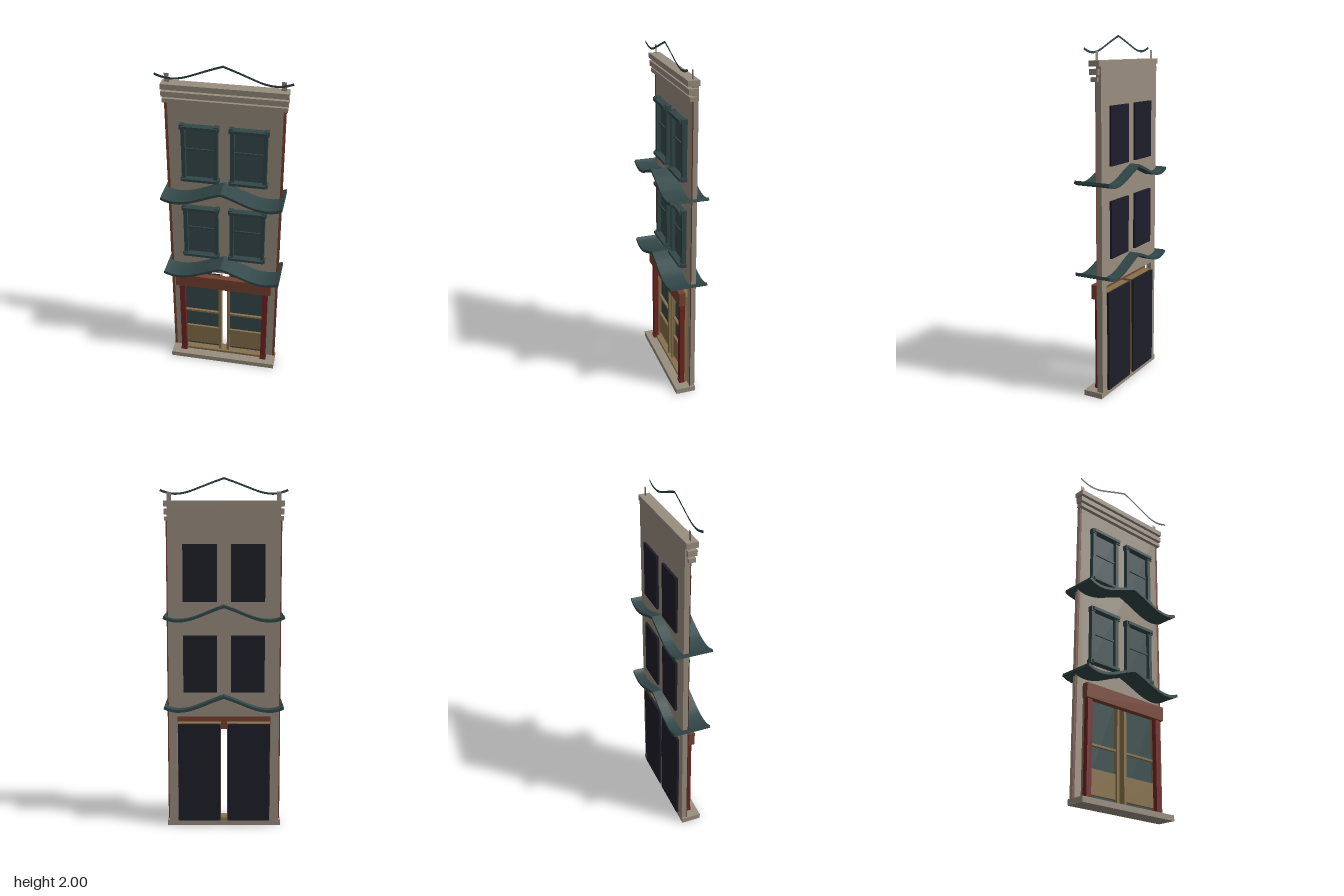
import * as THREE from 'three';

const mat = (name, color) => {
  const m = new THREE.MeshStandardMaterial({ color, side: THREE.DoubleSide });
  m.name = name;
  return m;
};

export function createModel() {
  const root = new THREE.Group();
  root.name = 'townhouseFacade';
  const stone = mat('taupe stone', 0x998e7f);
  const green = mat('dark green paint', 0x324748);
  const glass = mat('green glass', 0x364a4b);
  const brown = mat('brown lintel', 0x784130);
  const red = mat('red column', 0x702522);
  const tan = mat('tan wood', 0x87714b);
  const navy = mat('dark backing', 0x1e1e29);

  const add = (parent, name, geo, m) => {
    const mesh = new THREE.Mesh(geo, m);
    mesh.name = name;
    parent.add(mesh);
    return mesh;
  };
  // box given by its limits on each axis
  const box = (parent, name, m, x0, x1, y0, y1, z0, z1) => {
    const mesh = add(parent, name, new THREE.BoxGeometry(x1 - x0, y1 - y0, z1 - z0), m);
    mesh.position.set((x0 + x1) / 2, (y0 + y1) / 2, (z0 + z1) / 2);
    return mesh;
  };
  // flat upright panel
  const panel = (parent, name, m, x0, x1, y0, y1, z) => {
    const mesh = add(parent, name, new THREE.PlaneGeometry(x1 - x0, y1 - y0), m);
    mesh.position.set((x0 + x1) / 2, (y0 + y1) / 2, z);
    return mesh;
  };

  // wall with the doorway cut out
  const wall = new THREE.Shape();
  [[-0.316, 0], [-0.268, 0], [-0.268, 0.65], [0.268, 0.65], [0.268, 0], [0.316, 0], [0.316, 1.845], [-0.316, 1.845]]
    .forEach(([x, y], i) => (i ? wall.lineTo(x, y) : wall.moveTo(x, y)));
  add(root, 'wall', new THREE.ExtrudeGeometry(wall, { depth: 0.03, bevelEnabled: false }), stone).position.z = -0.05;
  box(root, 'baseStep', stone, -0.328, 0.328, 0, 0.031, -0.05, 0.065);

  // stepped cornice
  box(root, 'corniceTop', stone, -0.335, 0.335, 1.838, 1.868, -0.05, 0.014);
  box(root, 'corniceMiddle', stone, -0.335, 0.335, 1.795, 1.825, -0.042, 0.009);
  box(root, 'corniceLower', stone, -0.332, 0.332, 1.76, 1.783, -0.036, 0.002);

  // thin edge strips and roof posts
  for (const s of [-1, 1]) {
    panel(root, 'edgeStrip', brown, s * 0.3175 - 0.0075, s * 0.3175 + 0.0075, 0.03, 1.765, -0.0195);
    panel(root, 'roofPost', stone, s * 0.306 - 0.013, s * 0.306 + 0.013, 1.85, 1.917, -0.02);
  }

  // swept roof outline: half curve mirrored, closed by a lower copy
  const sweep = (half, t) => {
    const right = new THREE.CatmullRomCurve3(half.map(([x, y]) => new THREE.Vector3(x, y, 0))).getPoints(20);
    const top = [...right.slice(1).reverse().map(p => new THREE.Vector2(-p.x, p.y)),
      ...right.map(p => new THREE.Vector2(p.x, p.y))];
    const low = top.map(p => new THREE.Vector2(p.x * 1.012, p.y - t)).reverse();
    return new THREE.Shape([...top, ...low]);
  };
  const eave = sweep([[0, 1.295], [0.06, 1.273], [0.12, 1.248], [0.18, 1.226], [0.23, 1.216], [0.27, 1.215], [0.31, 1.223], [0.337, 1.235]], 0.016);
  for (const dy of [0, -0.513]) {
    const geo = new THREE.ExtrudeGeometry(eave, { depth: 0.216, bevelEnabled: false });
    add(root, 'canopyRoof', geo, green).position.set(0, dy, -0.109);
  }
  const crest = sweep([[0, 2], [0.07, 1.975], [0.14, 1.948], [0.2, 1.926], [0.25, 1.916], [0.29, 1.916], [0.33, 1.925], [0.357, 1.935]], 0.012);
  add(root, 'roofCrest', new THREE.ShapeGeometry(crest), green).position.z = 0.025;

  // sash windows, two on each upper floor
  for (const y of [0.783, 1.297]) {
    for (const s of [-1, 1]) {
      const win = new THREE.Group();
      win.name = 'window';
      win.position.set(s * 0.135, y, 0);
      root.add(win);
      panel(win, 'pane', glass, -0.09, 0.09, 0.01, 0.33, -0.016);
      for (const e of [-1, 1]) {
        box(win, 'jamb', green, e * 0.09 - 0.011, e * 0.09 + 0.011, 0.008, 0.335, -0.02, 0.006);
        box(win, 'lintelEar', green, e * 0.095 - 0.013, e * 0.095 + 0.013, 0.316, 0.345, -0.02, 0.012);
        box(win, 'sillEar', green, e * 0.095 - 0.013, e * 0.095 + 0.013, 0, 0.022, -0.02, 0.012);
      }
      box(win, 'lintel', green, -0.1, 0.1, 0.322, 0.34, -0.02, 0.022);
      box(win, 'sill', green, -0.1, 0.1, 0.003, 0.018, -0.02, 0.022);
      box(win, 'sashBar', green, -0.08, 0.08, 0.184, 0.196, -0.02, -0.008);
      box(win, 'windowBacking', navy, -0.096, 0.096, 0.012, 0.335, -0.063, -0.05);
    }
  }

  // shopfront: lintel, columns and threshold
  box(root, 'doorLintel', brown, -0.288, 0.288, 0.566, 0.647, 0, 0.037);
  box(root, 'threshold', tan, -0.268, 0.268, 0.031, 0.046, -0.05, 0.012);
  for (const s of [-1, 1]) {
    box(root, 'column', red, s * 0.254 - 0.016, s * 0.254 + 0.016, 0.04, 0.568, -0.003, 0.025);
    box(root, 'columnBase', red, s * 0.254 - 0.019, s * 0.254 + 0.019, 0.031, 0.05, -0.003, 0.028);

    // glazed door leaf with kick panel
    const door = new THREE.Group();
    door.name = 'door';
    door.position.x = s * 0.142;
    root.add(door);
    for (const e of [-1, 1]) box(door, 'doorStile', tan, e * 0.116 - 0.008, e * 0.116 + 0.008, 0.046, 0.61, -0.05, -0.002);
    box(door, 'topRail', tan, -0.11, 0.11, 0.585, 0.61, -0.045, -0.004);
    box(door, 'middleRail', tan, -0.11, 0.11, 0.329, 0.341, -0.03, -0.012);
    box(door, 'kickPanel', tan, -0.11, 0.11, 0.07, 0.207, -0.03, -0.014);
    panel(door, 'doorGlass', glass, -0.11, 0.11, 0.046, 0.59, -0.028);
    box(door, 'doorBacking', navy, -0.122, 0.122, 0.032, 0.607, -0.063, -0.05);
  }
  return root;
}
